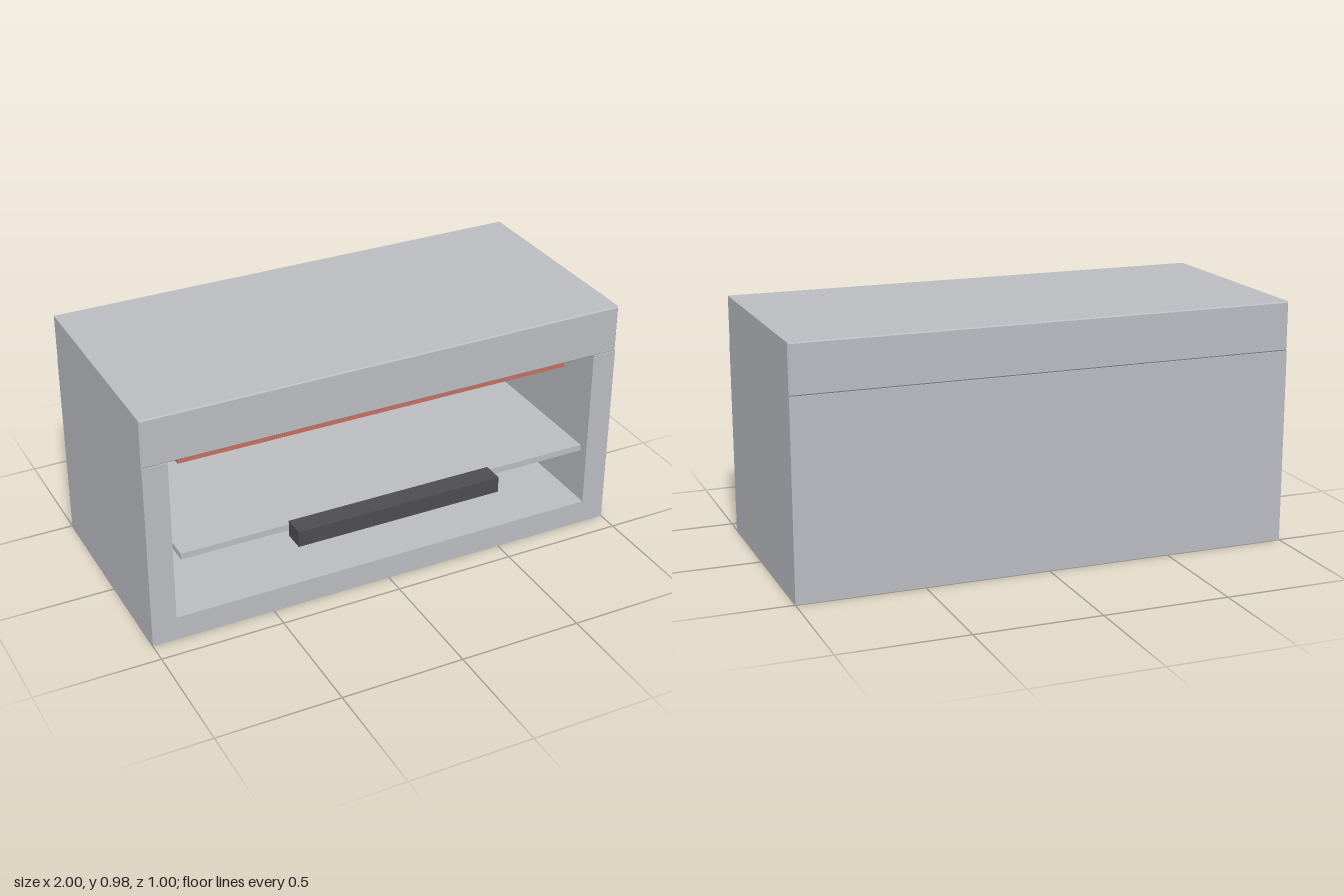
import * as THREE from 'three';

const FRONT = 0.413, BACK = -0.5, RIM = 0.779, WALL = 0.1;

export function createModel() {
  const model = new THREE.Group();
  model.name = 'countertopGrill';

  const paint = (name, color) => {
    const m = new THREE.MeshStandardMaterial({ color });
    m.name = name;
    return m;
  };
  const steel = paint('steel grey', 0xbabbc0);
  const dark = paint('dark handle grey', 0x4d4d50);
  const glow = paint('heater red', 0xc86c5c);

  const add = (name, geometry, material) => {
    const mesh = new THREE.Mesh(geometry, material);
    mesh.name = name;
    model.add(mesh);
    return mesh;
  };
  // Box given by its lower and upper limits on each axis
  const box = (name, material, [x0, x1], [y0, y1], [z0, z1]) => {
    const mesh = add(name, new THREE.BoxGeometry(x1 - x0, y1 - y0, z1 - z0), material);
    mesh.position.set((x0 + x1) / 2, (y0 + y1) / 2, (z0 + z1) / 2);
    return mesh;
  };

  // Housing: U-shaped shell, open at the front, closed by a back panel
  const outline = [
    [-1, 0], [1, 0], [1, RIM], [1 - WALL, RIM],
    [1 - WALL, WALL], [WALL - 1, WALL], [WALL - 1, RIM], [-1, RIM],
  ].map(([x, y]) => new THREE.Vector2(x, y));
  const shell = new THREE.ExtrudeGeometry(new THREE.Shape(outline), {
    depth: FRONT - BACK, bevelEnabled: false,
  });
  shell.translate(0, 0, BACK);
  add('housing', shell, steel);
  box('backPanel', steel, [WALL - 1, 1 - WALL], [WALL, RIM], [BACK, BACK + WALL]);

  // Top cover with finely chamfered edges
  const c = 0.005, y0 = 0.779, y1 = 0.975;
  const face = new THREE.Shape([
    [-1 + c, y0 + c], [1 - c, y0 + c], [1 - c, y1 - c], [-1 + c, y1 - c],
  ].map(([x, y]) => new THREE.Vector2(x, y)));
  const cover = new THREE.ExtrudeGeometry(face, {
    depth: FRONT - BACK - 2 * c, bevelThickness: c, bevelSize: c, bevelSegments: 1,
  });
  cover.translate(0, 0, BACK + c);
  add('topCover', cover, steel);

  // Heater under the cover, sliding rack and its handle
  box('heater', glow, [-0.828, 0.828], [0.705, 0.785], [-0.4, 0.32]);
  box('rack', steel, [-0.87, 0.87], [0.354, 0.38], [-0.4, 0.413]);
  box('rackHandle', dark, [-0.432, 0.432], [0.33, 0.396], [0.413, 0.5]);

  return model;
}
